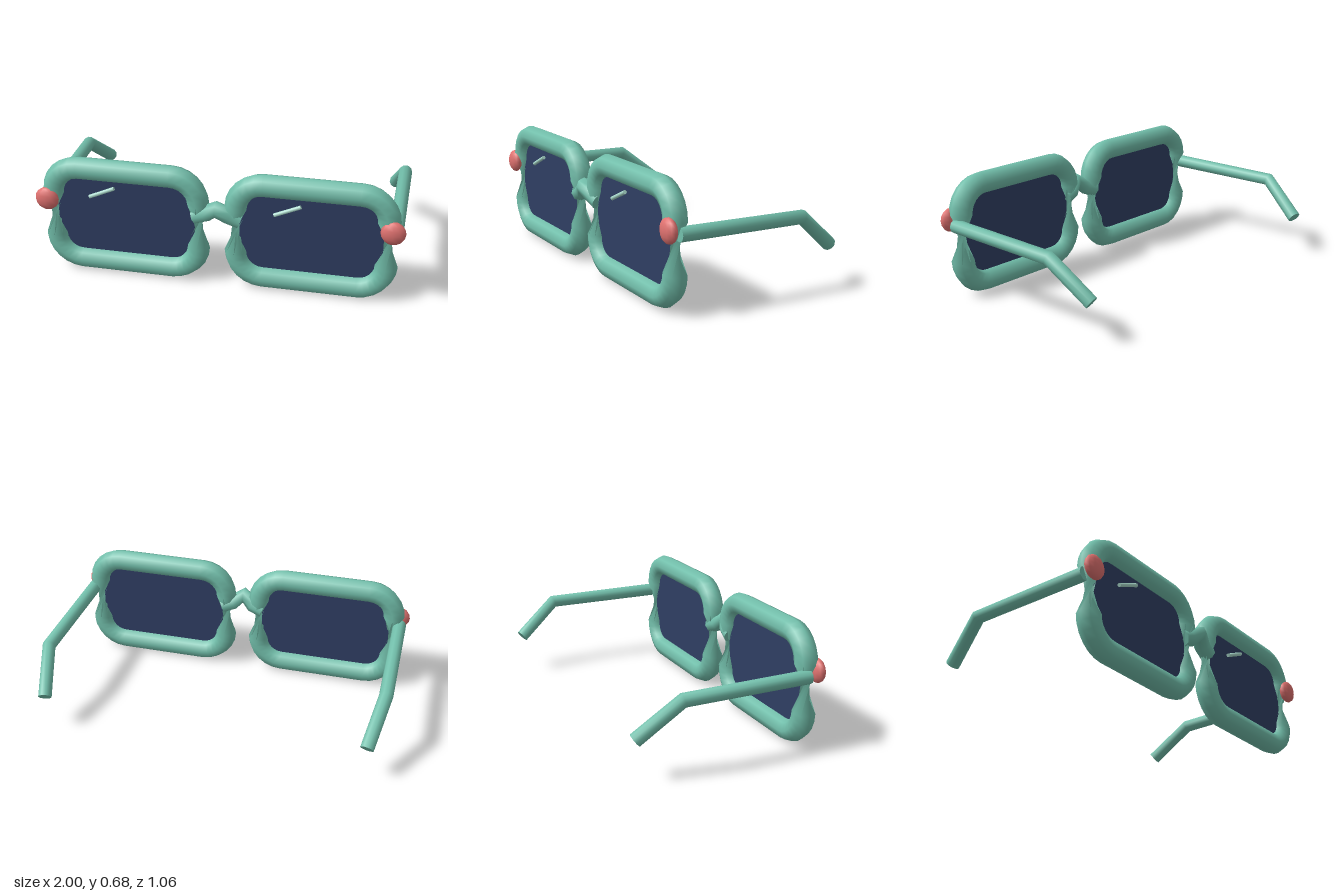
import * as THREE from 'three';

const V = (x, y, z) => new THREE.Vector3(x, y, z);
const material = (color) => new THREE.MeshStandardMaterial({ color, side: THREE.DoubleSide });

// Sweep a round section along points; refAt(point) orients each ring.
function sweep(points, r, sides, closed = false, refAt = () => V(0, 1, 0)) {
  const n = points.length, pos = [], nor = [], idx = [];
  const at = (i) => points[closed ? (i + n) % n : Math.min(n - 1, Math.max(0, i))];
  const tangents = points.map((p, i) => {
    const a = at(i).clone().sub(at(i - 1)).normalize();
    const b = at(i + 1).clone().sub(at(i)).normalize();
    return a.add(b).normalize();
  });
  points.forEach((p, i) => {
    const u = tangents[i].clone().cross(refAt(p)).normalize();
    const v = tangents[i].clone().cross(u);
    for (let j = 0; j < sides; j++) {
      const a = (j / sides) * Math.PI * 2;
      const d = u.clone().multiplyScalar(Math.cos(a)).addScaledVector(v, Math.sin(a));
      pos.push(...p.clone().addScaledVector(d, r).toArray());
      nor.push(...d.toArray());
    }
  });
  for (let i = 0; i < (closed ? n : n - 1); i++) {
    const k = ((i + 1) % n) * sides;
    for (let j = 0; j < sides; j++) {
      const j2 = (j + 1) % sides;
      const a = i * sides + j, b = i * sides + j2, c = k + j, d = k + j2;
      idx.push(a, b, c, b, d, c);
    }
  }
  // Flat end caps
  if (!closed) for (const end of [0, n - 1]) {
    const base = pos.length / 3, t = tangents[end].clone().multiplyScalar(end ? 1 : -1);
    for (let j = 0; j < sides; j++) {
      const s = (end * sides + j) * 3;
      pos.push(pos[s], pos[s + 1], pos[s + 2]);
      nor.push(...t.toArray());
    }
    for (let j = 1; j < sides - 1; j++) {
      idx.push(base, base + (end ? j : j + 1), base + (end ? j + 1 : j));
    }
  }
  const g = new THREE.BufferGeometry();
  g.setAttribute('position', new THREE.Float32BufferAttribute(pos, 3));
  g.setAttribute('normal', new THREE.Float32BufferAttribute(nor, 3));
  g.setIndex(idx);
  return g;
}

// Corner-rounded rectangle as a loop of points round (0, 0)
function roundedLoop(hw, hh, r, steps) {
  const pts = [];
  [[1, 1], [-1, 1], [-1, -1], [1, -1]].forEach(([sx, sy], q) => {
    for (let i = 0; i <= steps; i++) {
      const a = (q + i / steps) * Math.PI / 2;
      pts.push(V(sx * (hw - r) + r * Math.cos(a), sy * (hh - r) + r * Math.sin(a), 0));
    }
  });
  return pts;
}

export function createModel() {
  const group = new THREE.Group();
  const mint = material(0x72bfab), navy = material(0x2f3e63);
  const coral = material(0xe07270), pale = material(0xa8d8ca);
  const add = (name, geometry, mat, x = 0, y = 0, z = 0) => {
    const m = new THREE.Mesh(geometry, mat);
    m.name = name;
    m.position.set(x, y, z);
    group.add(m);
    return m;
  };

  // Rims: ring orientation flips at mid height, which twists the uprights
  const rim = sweep(roundedLoop(0.402, 0.277, 0.147, 6), 0.0625, 8, true,
    (p) => V(0, 0, p.y > 0 ? -1 : 1));
  const lensShape = new THREE.Shape(
    roundedLoop(0.382, 0.255, 0.11, 5).map((p) => new THREE.Vector2(p.x, p.y)));
  const lens = new THREE.ExtrudeGeometry(lensShape, { depth: 0.02, bevelEnabled: false });
  lens.translate(0, 0, -0.01);

  for (const s of [1, -1]) {
    const side = s > 0 ? 'left' : 'right';
    add(side + 'Rim', rim, mint, s * 0.505, 0.342, 0.444);
    add(side + 'Lens', lens, navy, s * 0.505, 0.342, 0.444);

    // Glint rods slant the same way on both lenses
    const x = s > 0 ? 0.31 : -0.7;
    add(side + 'Glint', sweep([V(x, 0.46, 0.465), V(x + 0.14, 0.523, 0.465)], 0.011, 8), pale);

    // Flattened ball at the hinge
    add(side + 'Hinge', new THREE.SphereGeometry(0.066, 12, 8), coral, s * 0.932, 0.441, 0.495)
      .scale.z = 0.53;

    // Temple arm with a bent ear piece
    const arm = [V(s * 0.945, 0.418, 0.445), V(s * 0.957, 0.41, -0.272), V(s * 0.903, 0.221, -0.503)];
    add(side + 'Arm', sweep(arm, 0.038, 10), mint);
  }

  // Arched bridge
  const bridge = [V(-0.125, 0.398, 0.445), V(-0.06, 0.423, 0.452), V(0, 0.466, 0.476),
    V(0.06, 0.423, 0.452), V(0.125, 0.398, 0.445)];
  add('bridge', sweep(bridge, 0.047, 8), mint);

  return group;
}
